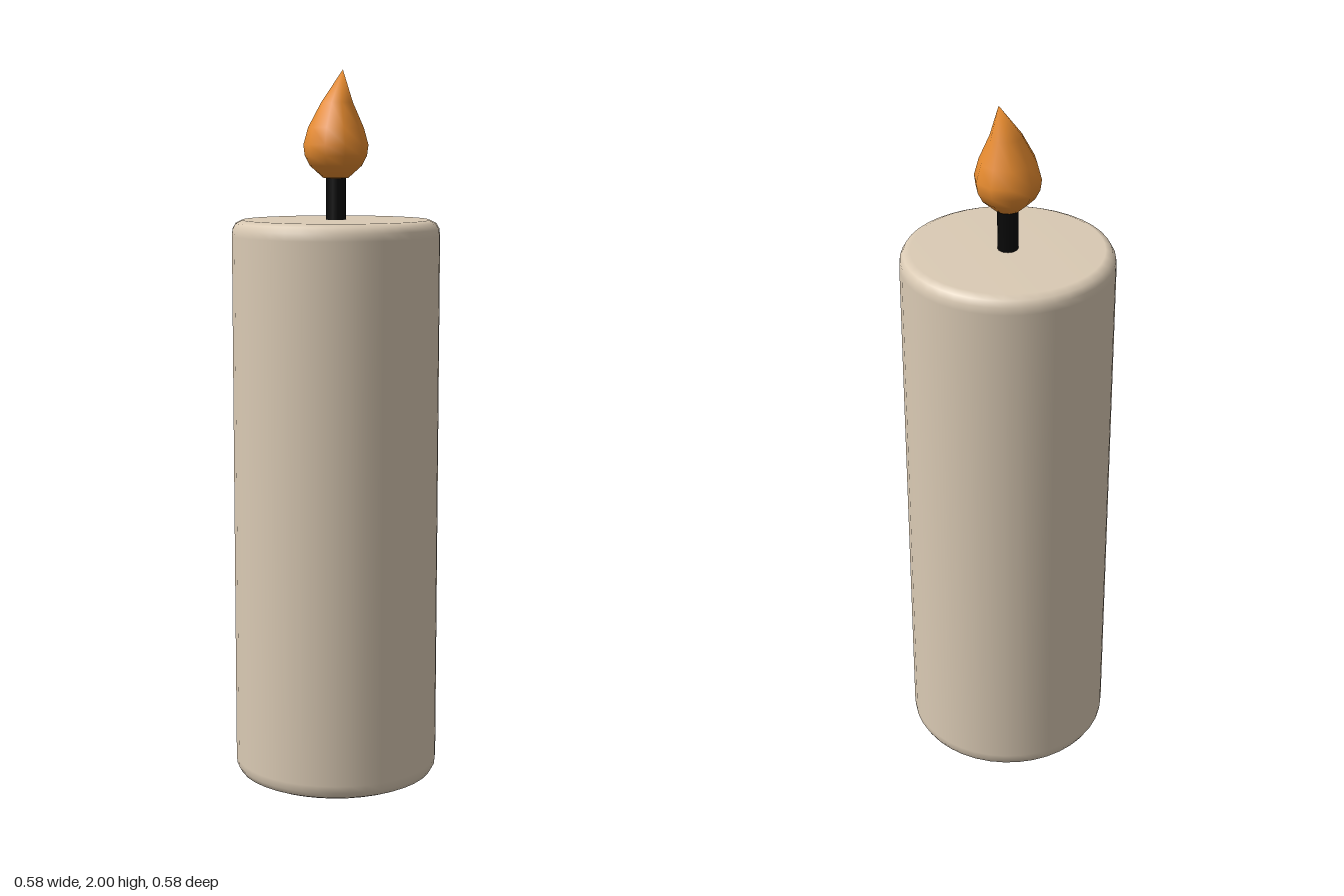
import * as THREE from 'three';
import { mergeVertices } from 'three/addons/utils/BufferGeometryUtils.js';

function part(name, geometry, color) {
  const mesh = new THREE.Mesh(geometry, new THREE.MeshStandardMaterial({ color }));
  mesh.name = name;
  return mesh;
}

const lathe = (profile, sides) =>
  new THREE.LatheGeometry(profile.map(([r, y]) => new THREE.Vector2(r, y)), sides);

export function createModel() {
  const candle = new THREE.Group();
  candle.name = 'candle';

  // Wax pillar with rounded rims
  const rim = [[0.26, 0], [0.279, 0.009], [0.288, 0.025], [0.29, 0.045]];
  const height = 1.59;
  const waxProfile = [[0, 0], ...rim,
    ...rim.map(([r, y]) => [r, height - y]).reverse(), [0, height]];
  candle.add(part('wax', lathe(waxProfile, 40), 0xdacab4));

  // Wick, sunk into the wax and the flame
  const wick = part('wick', new THREE.CylinderGeometry(0.028, 0.028, 0.2, 12), 0x080808);
  wick.position.y = 1.65;
  candle.add(wick);

  // Ten-sided teardrop flame whose tip leans backwards
  let flame = lathe([[0, 1.7], [0.035, 1.705], [0.072, 1.738], [0.086, 1.765],
    [0.09, 1.795], [0.077, 1.842], [0.044, 1.91], [0, 2]], 10);
  const p = flame.attributes.position;
  for (let i = 0; i < p.count; i++) {
    const lean = Math.max(0, (p.getY(i) - 1.85) / 0.15) ** 2;
    p.setX(i, p.getX(i) + 0.01 * lean);
    p.setZ(i, p.getZ(i) - 0.03 * lean);
  }
  flame.deleteAttribute('uv');
  flame.deleteAttribute('normal');
  flame = mergeVertices(flame);
  flame.computeVertexNormals();
  candle.add(part('flame', flame, 0xe88c30));

  return candle;
}
